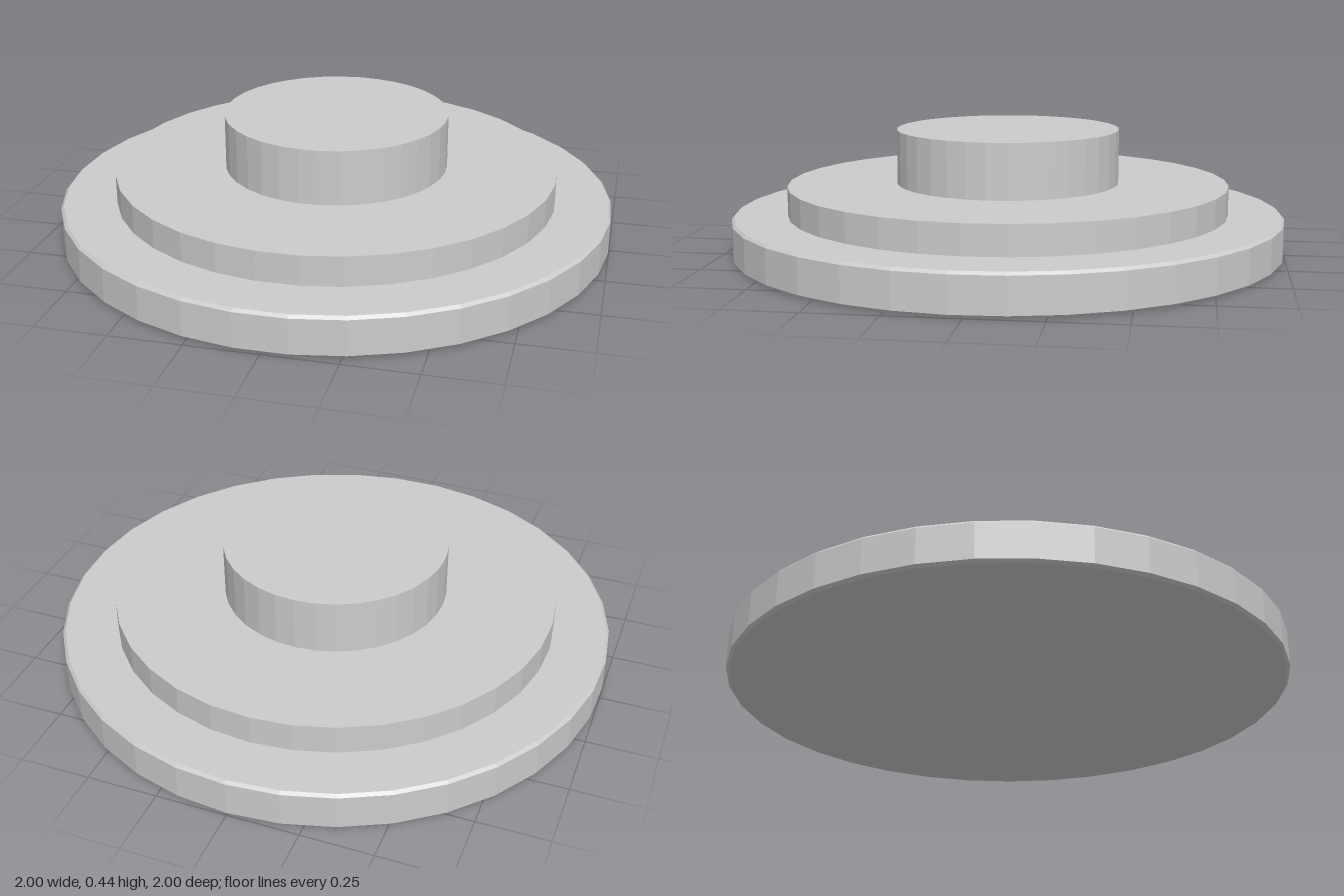
import * as THREE from 'three';

const SIDES = 35;

export function createModel() {
  const group = new THREE.Group();
  const material = new THREE.MeshStandardMaterial({ color: 0xcccccc, flatShading: true });

  // Turned disc, given as a radius/height profile from bottom to top
  const addDisc = (name, profile) => {
    const points = profile.map(([r, y]) => new THREE.Vector2(r, y));
    const mesh = new THREE.Mesh(new THREE.LatheGeometry(points, SIDES), material);
    mesh.name = name;
    mesh.rotation.y = Math.PI; // one corner points to the back
    group.add(mesh);
  };

  // Wide base with small chamfers on both rims
  const c = 0.01;
  const baseTop = 0.143;
  addDisc('base', [[0, 0], [1 - c, 0], [1, c], [1, baseTop - c], [1 - c, baseTop], [0, baseTop]]);

  // Middle step
  const stepTop = 0.248;
  addDisc('middleStep', [[0, baseTop], [0.8, baseTop], [0.8, stepTop], [0, stepTop]]);

  // Raised centre hub
  const hubTop = 0.445;
  addDisc('hub', [[0, stepTop], [0.404, stepTop], [0.404, hubTop], [0, hubTop]]);

  return group;
}
